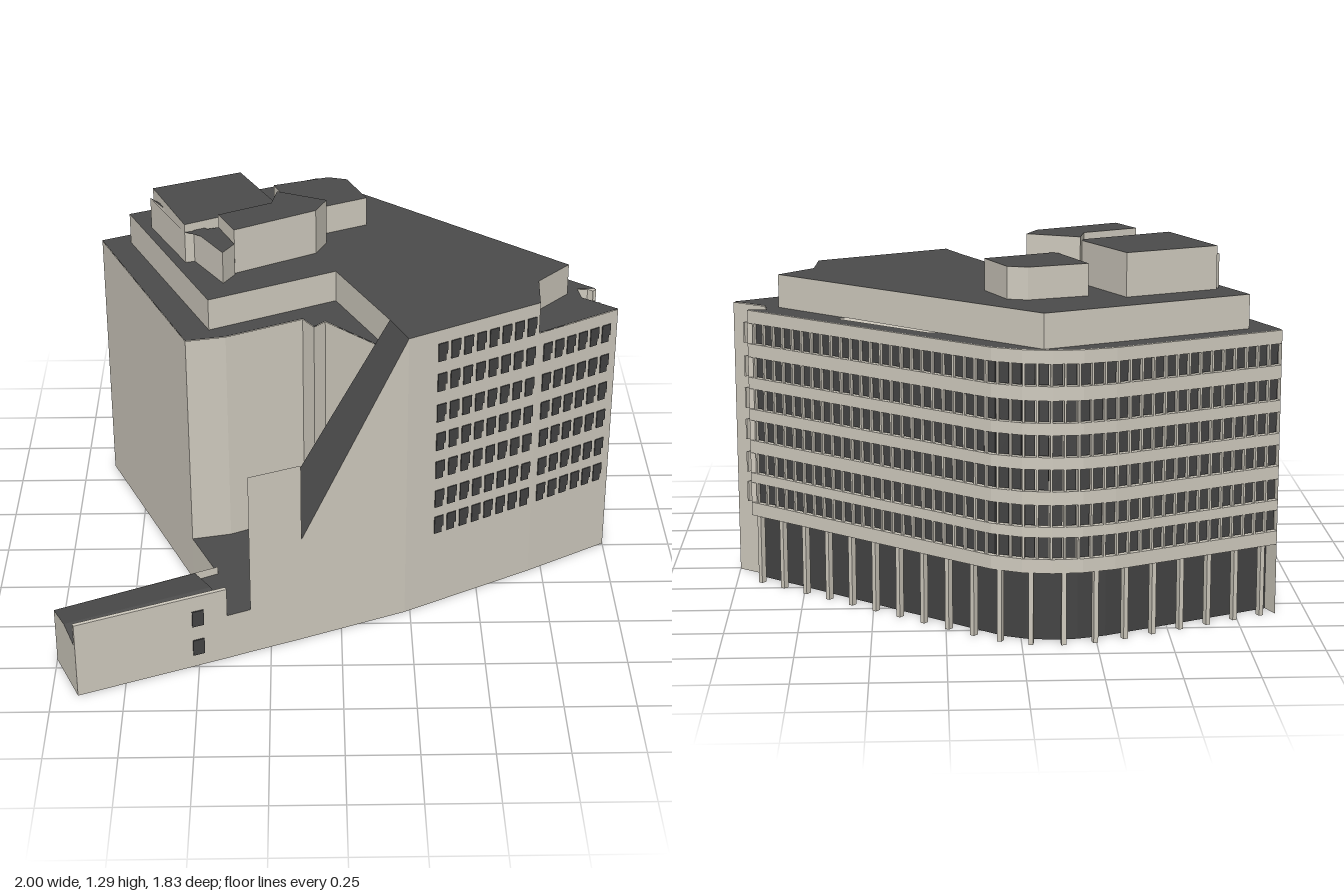
import * as THREE from 'three';
import { mergeGeometries } from 'three/addons/utils/BufferGeometryUtils.js';

const mat = (name, color) => {
  const m = new THREE.MeshStandardMaterial({ color, side: THREE.DoubleSide });
  m.name = name;
  return m;
};

// Geometry from a list of quads, each made of four [x, y, z] corners
function quads(list) {
  const p = [];
  for (const [a, b, c, d] of list) p.push(...a, ...b, ...c, ...a, ...c, ...d);
  const g = new THREE.BufferGeometry();
  g.setAttribute('position', new THREE.Float32BufferAttribute(p, 3));
  g.computeVertexNormals();
  return g;
}

// Vertical wall along [x, z, ownTop?] points, optionally closed
function wall(pts, y0, y1, closed = false) {
  const list = [];
  const top = (p) => p[2] ?? y1;
  for (let i = 0; i < pts.length - (closed ? 0 : 1); i++) {
    const a = pts[i], b = pts[(i + 1) % pts.length];
    if (a[0] === b[0] && a[1] === b[1]) continue;
    list.push([[a[0], y0, a[1]], [b[0], y0, b[1]], [b[0], top(b), b[1]], [a[0], top(a), a[1]]]);
  }
  return quads(list);
}

// Flat horizontal slab face from [x, z] points
function flat(pts, y) {
  const s = new THREE.Shape(pts.map(([x, z]) => new THREE.Vector2(x, -z)));
  return new THREE.ShapeGeometry(s).rotateX(-Math.PI / 2).translate(0, y, 0);
}

// Horizontal strip between two matching lines
const shelf = (p, q, y) => quads(p.slice(1).map((b, i) => [
  [p[i][0], y, p[i][1]], [b[0], y, b[1]], [q[i + 1][0], y, q[i + 1][1]], [q[i][0], y, q[i][1]]]));

// Shift a line sideways; positive moves towards the building interior
function inset(pts, d) {
  return pts.map((p, i) => {
    const a = pts[Math.max(i - 1, 0)], b = pts[Math.min(i + 1, pts.length - 1)];
    const dx = b[0] - a[0], dz = b[1] - a[1], l = Math.hypot(dx, dz);
    return [p[0] - (dz / l) * d, p[1] + (dx / l) * d];
  });
}

// Evenly spaced stations along a line: position and heading
function stations(pts, step) {
  const out = [];
  let carry = step / 2;
  for (let i = 1; i < pts.length; i++) {
    const [ax, az] = pts[i - 1], [bx, bz] = pts[i];
    const l = Math.hypot(bx - ax, bz - az);
    for (; carry < l; carry += step) {
      const t = carry / l;
      out.push({ x: ax + (bx - ax) * t, z: az + (bz - az) * t, r: -Math.atan2(bz - az, bx - ax) });
    }
    carry -= l;
  }
  return out;
}

const block = (s, y, w, h, d) =>
  new THREE.BoxGeometry(w, h, d).rotateY(s.r).translate(s.x, y, s.z);

export function createModel() {
  const group = new THREE.Group();
  const stone = mat('stone', 0xcfcabe);
  const roof = mat('dark roof', 0x4b4b4b);
  const glass = mat('dark glass', 0x434343);
  const add = (name, geo, m) => {
    const mesh = new THREE.Mesh(Array.isArray(geo) ? mergeGeometries(geo) : geo, m);
    mesh.name = name;
    group.add(mesh);
  };
  const rows = [0.335, 0.445, 0.565, 0.68, 0.795, 0.917];

  // Front wall with raised fin and diagonal cut
  add('frontWall', wall([
    [-0.40, 0.70, 0.18], [-0.32, 0.665, 0.18], [-0.32, 0.665, 0.72], [-0.14, 0.59, 0.72],
    [-0.14, 0.59, 0.42], [0.23, 0.43, 1.12], [0.70, 0.17, 1.12], [0.70, 0.17, 1.0], [1, -0.01, 1.0],
  ], 0, 1), stone);

  // West wall, courtyard walls and east end
  const court = [[-0.54, 0.21], [-0.40, 0.18], [-0.13, 0.05], [-0.09, 0.11], [-0.05, 0.07], [0.17, 0.29]];
  add('westWall', wall([[-0.89, -0.61], [-0.54, 0.21]], 0, 1), stone);
  add('lowWestWall', wall([[-0.54, 0.21], [-0.44, 0.44]], 0, 0.18), stone);
  add('courtyardWall', wall(court, 0.18, 1), stone);
  add('eastEnd', wall([[1, -0.01], [0.88, -0.1]], 0, 1), stone);
  add('eastReturn', wall([[0.88, -0.1], [0.87, -0.17], [0.94, -0.17]], 0.25, 1), stone);

  // Sloping roof and the walls beneath it
  add('slopedRoof', quads([[[0.23, 1.12, 0.43], [0.17, 1.12, 0.29], [-0.18, 0.507, 0.37], [-0.14, 0.42, 0.59]]]), roof);
  add('slopeWalls', wall([[0.17, 0.29, 1.12], [-0.18, 0.37, 0.507], [-0.14, 0.59, 0.42]], 0.18, 1), stone);
  add('courtyardRoof', flat([
    [-0.54, 0.21], [-0.44, 0.44], [-0.52, 0.48], [-0.40, 0.70], [-0.32, 0.665], [-0.14, 0.59],
    [-0.18, 0.37], [0.17, 0.29], [-0.05, 0.07], [-0.09, 0.11], [-0.13, 0.05], [-0.40, 0.18]], 0.18), roof);

  // Curved rear facade: recessed wall, projecting floor bands, piers and windows
  const line = [[-0.89, -0.61], [-0.31, -0.88], [-0.2, -0.913], [-0.1, -0.92], [0, -0.905], [0.1, -0.86], [0.94, -0.17]];
  const inner = inset(line, 0.02);
  add('facadeWall', wall(inner, 0.25, 1), stone);
  const bands = [], panes = [], piers = [];
  const edges = [0.25, ...rows.flatMap((y) => [y - 0.037, y + 0.037]), 1];
  for (let i = 0; i < edges.length; i += 2) {
    bands.push(wall(line, edges[i], edges[i + 1]));
    bands.push(shelf(line, inner, edges[i]), shelf(line, inner, edges[i + 1]));
  }
  for (const y of rows) {
    for (const s of stations(inset(line, 0.017), 0.045)) panes.push(block(s, y, 0.034, 0.07, 0.006));
    for (const s of stations(inset(line, 0.011), 0.045)) {
      piers.push(block({ x: s.x + 0.0225 * Math.cos(s.r), z: s.z - 0.0225 * Math.sin(s.r), r: s.r }, y, 0.007, 0.074, 0.016));
    }
  }
  add('facadeBands', bands, stone);
  add('facadeWindows', panes, glass);
  add('facadePiers', piers, stone);

  // Recessed ground floor glazing, soffit and columns
  const shop = inset(line, 0.065);
  add('groundFloorGlazing', wall(shop, 0, 0.25), glass);
  add('soffit', shelf(line, shop, 0.252), stone);
  add('columns', stations(inset(line, 0.015), 0.108).map((s) => block(s, 0.125, 0.016, 0.25, 0.022)), stone);

  // Main roof and pale ledge behind the rear facade
  add('mainRoof', flat([...line, [0.87, -0.17], [0.88, -0.1], [1, -0.01], [0.70, 0.17], [0.23, 0.43],
    ...court.slice().reverse()], 1.002), roof);
  add('roofLedge', flat([[0.25, -0.66], [0.30, -0.655], [0.62, -0.39], [0.58, -0.365]], 1.008), stone);

  // Set-back top storey
  const top = [[0.17, 0.29], [-0.01, -0.09], [-0.46, 0.13], [-0.78, -0.59], [-0.07, -0.91],
    [0.83, -0.13], [0.71, 0], [0.70, 0.17]];
  add('topStoreyWall', wall(top, 1, 1.12), stone);
  add('topStoreyRoof', flat([...top, [0.23, 0.43]], 1.12), roof);

  // Rooftop plant rooms
  const plant = [
    ['westPlantRoom', 1.27, [[-0.68, -0.49], [-0.36, -0.63], [-0.22, -0.34], [-0.55, -0.17]]],
    ['centrePlantRoom', 1.29, [[-0.43, -0.21], [-0.37, -0.08], [-0.08, -0.24], [-0.04, -0.33], [-0.22, -0.41], [-0.24, -0.31]]],
    ['eastPlantRoom', 1.23, [[-0.235, -0.60], [-0.03, -0.67], [0.04, -0.65], [0.11, -0.48], [-0.14, -0.36]]],
    ['lowPlantRoom', 1.24, [[-0.69, -0.47], [-0.55, -0.17], [-0.43, -0.21], [-0.37, -0.07], [-0.41, 0]]],
  ];
  for (const [name, y, pts] of plant) {
    add(name, wall(pts, 1.12, y, true), stone);
    add(name + 'Roof', flat(pts, y), roof);
  }

  // Front windows, the top row stopping short at the set-back
  const frontWindows = [];
  const z = (x) => (x < 0.7 ? 0.43 - (x - 0.23) * 0.5532 : 0.17 - (x - 0.7) * 0.6);
  for (const y of [...rows, 1.035]) {
    for (let i = 0; i < 14; i++) {
      if (y > 1 && i > 7) continue;
      const x = i < 8 ? 0.35 + i * 0.046 : 0.735 + (i - 8) * 0.0445;
      const s = { x, z: z(x), r: Math.atan(x < 0.7 ? 0.5532 : 0.6) };
      frontWindows.push(block(s, y + 0.012, 0.037, 0.044, 0.008));
      s.x -= 0.003;
      s.z = z(s.x);
      frontWindows.push(block(s, y - 0.022, 0.03, 0.026, 0.008));
    }
  }
  add('frontWindows', frontWindows, glass);

  // Low annex with a front parapet and shallow ridged roof
  const front = [[-0.91, 0.91], [-0.40, 0.70]];
  const back = inset(front, -0.015);
  add('annexWalls', wall([[-0.44, 0.44, 0.21], [-1, 0.70, 0.21], [-0.955, 0.805, 0.225], [-0.91, 0.91, 0.20]], 0, 0.2), stone);
  add('annexFront', [wall(front, 0, 0.29), wall(back, 0.18, 0.29), shelf(front, back, 0.29),
    wall([front[0], back[0]], 0.18, 0.29), wall([front[1], back[1]], 0.18, 0.29)], stone);
  add('annexRoof', quads([
    [[-1, 0.21, 0.70], [-0.955, 0.225, 0.805], [-0.46, 0.225, 0.59], [-0.52, 0.21, 0.48]],
    [[-0.955, 0.225, 0.805], [-0.91, 0.20, 0.91], [-0.40, 0.20, 0.70], [-0.46, 0.225, 0.59]]]), roof);
  const annexSpot = { x: -0.50, z: 0.742, r: Math.atan(0.21 / 0.51) };
  add('annexWindows', [0.08, 0.20].map((y) => block(annexSpot, y, 0.042, 0.062, 0.008)), glass);

  return group;
}
